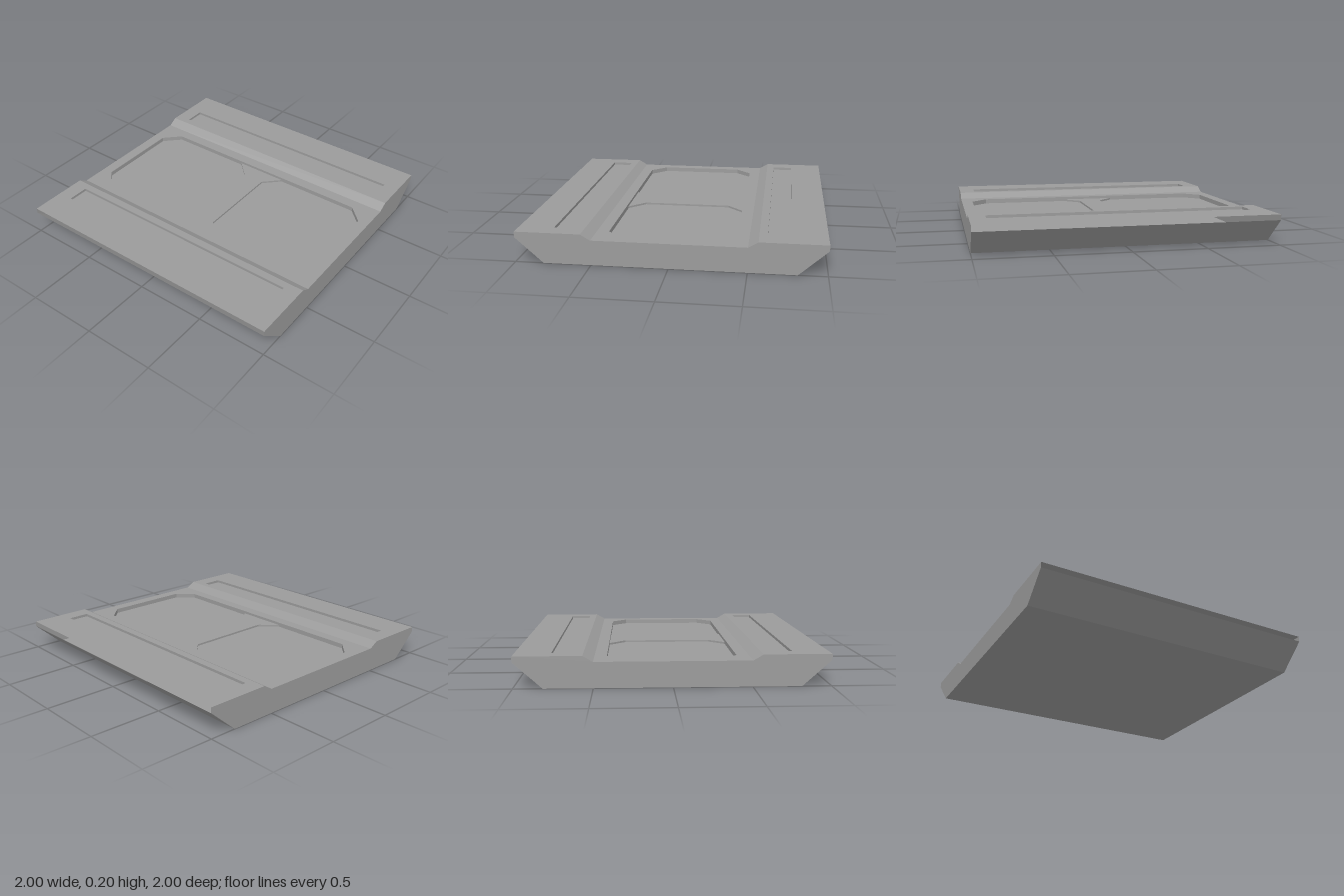
import * as THREE from 'three';

const TOP = 0.205, MID = 0.167, SLOT_FLOOR = 0.186, BAY_FLOOR = 0.135, WEB_TOP = 0.148;

const material = new THREE.MeshStandardMaterial({
  color: 0x9b9b9b, flatShading: true, side: THREE.DoubleSide,
});

const toPoints = (list) => list.map(([x, y]) => new THREE.Vector2(x, y));

// Flat panels from lists of four corners, counter-clockwise from the visible side
function quads(list) {
  const pos = [];
  for (const [a, b, c, d] of list) pos.push(...a, ...b, ...c, ...a, ...c, ...d);
  const g = new THREE.BufferGeometry();
  g.setAttribute('position', new THREE.Float32BufferAttribute(pos, 3));
  g.computeVertexNormals();
  return g;
}

// Counter-clockwise rectangle in plan (x, -z)
const rectangle = (x0, x1, y0, y1) => toPoints([[x0, y0], [x1, y0], [x1, y1], [x0, y1]]);

// Horizontal sheet with an optional opening
function sheet(points, y, hole) {
  const shape = new THREE.Shape(points);
  if (hole) shape.holes.push(new THREE.Path([...hole].reverse()));
  return new THREE.ShapeGeometry(shape).rotateX(-Math.PI / 2).translate(0, y, 0);
}

export function createModel() {
  const group = new THREE.Group();
  const add = (name, geometry, parent = group) => {
    const mesh = new THREE.Mesh(geometry, material);
    mesh.name = name;
    parent.add(mesh);
  };

  // Sunken recess: inward-facing walls and a floor
  const recess = (name, points, top, floor) => {
    const g = new THREE.Group();
    g.name = name;
    add('walls', quads(points.map((a, i) => {
      const b = points[(i + 1) % points.length];
      return [[b.x, floor, -b.y], [a.x, floor, -a.y], [a.x, top, -a.y], [b.x, top, -b.y]];
    })), g);
    add('floor', sheet(points, floor), g);
    group.add(g);
  };

  // Front and back end plates
  const profile = [[-0.813, 0], [0.813, 0], [1, MID], [1, TOP], [0.565, TOP],
    [0.5, MID], [-0.5, MID], [-0.565, TOP], [-1, TOP], [-1, MID]];
  const endShape = new THREE.Shape(toPoints(profile));
  add('frontPlate', new THREE.ShapeGeometry(endShape).translate(0, 0, 1));
  add('backPlate', new THREE.ShapeGeometry(endShape).translate(0, 0, 1).rotateY(Math.PI));

  // Underside and ramps run the full depth; the thin outer rims stay open
  const panels = { underside: 0, leftFlank: 1, leftRamp: 4, rightRamp: 6, rightFlank: 9 };
  for (const [name, i] of Object.entries(panels)) {
    const p = profile[i], q = profile[(i + 1) % profile.length];
    add(name, quads([[[...p, 1], [...p, -1], [...q, -1], [...q, 1]]]));
  }

  // Raised side decks, each with a long slot
  for (const [side, s] of [['left', 1], ['right', -1]]) {
    const span = (a, b) => (s > 0 ? [a, b] : [-b, -a]);
    const slot = rectangle(...span(0.618, 0.767), -0.89, 0.89);
    add(side + 'Deck', sheet(rectangle(...span(0.565, 1), -1, 1), TOP, slot));
    recess(side + 'Slot', slot, TOP, SLOT_FLOOR);
  }

  // Lower central deck around a cut-corner bay
  const bay = toPoints([[-0.308, -0.922], [0.308, -0.922], [0.42, -0.81], [0.42, 0.81],
    [0.308, 0.922], [-0.308, 0.922], [-0.42, 0.81], [-0.42, -0.81]]);
  add('centreDeck', sheet(rectangle(-0.5, 0.5, -1, 1), MID, bay));
  recess('bay', bay, MID, BAY_FLOOR);

  // Slightly lower web dividing the bay into two pockets
  const web = new THREE.Shape(toPoints([[-0.42, -0.192], [-0.308, -0.08], [0.308, -0.08],
    [0.42, -0.192], [0.42, 0.192], [0.308, 0.08], [-0.308, 0.08], [-0.42, 0.192]]));
  add('dividingWeb', new THREE.ExtrudeGeometry(web, { depth: WEB_TOP - BAY_FLOOR, bevelEnabled: false })
    .rotateX(-Math.PI / 2).translate(0, BAY_FLOOR, 0));

  return group;
}
